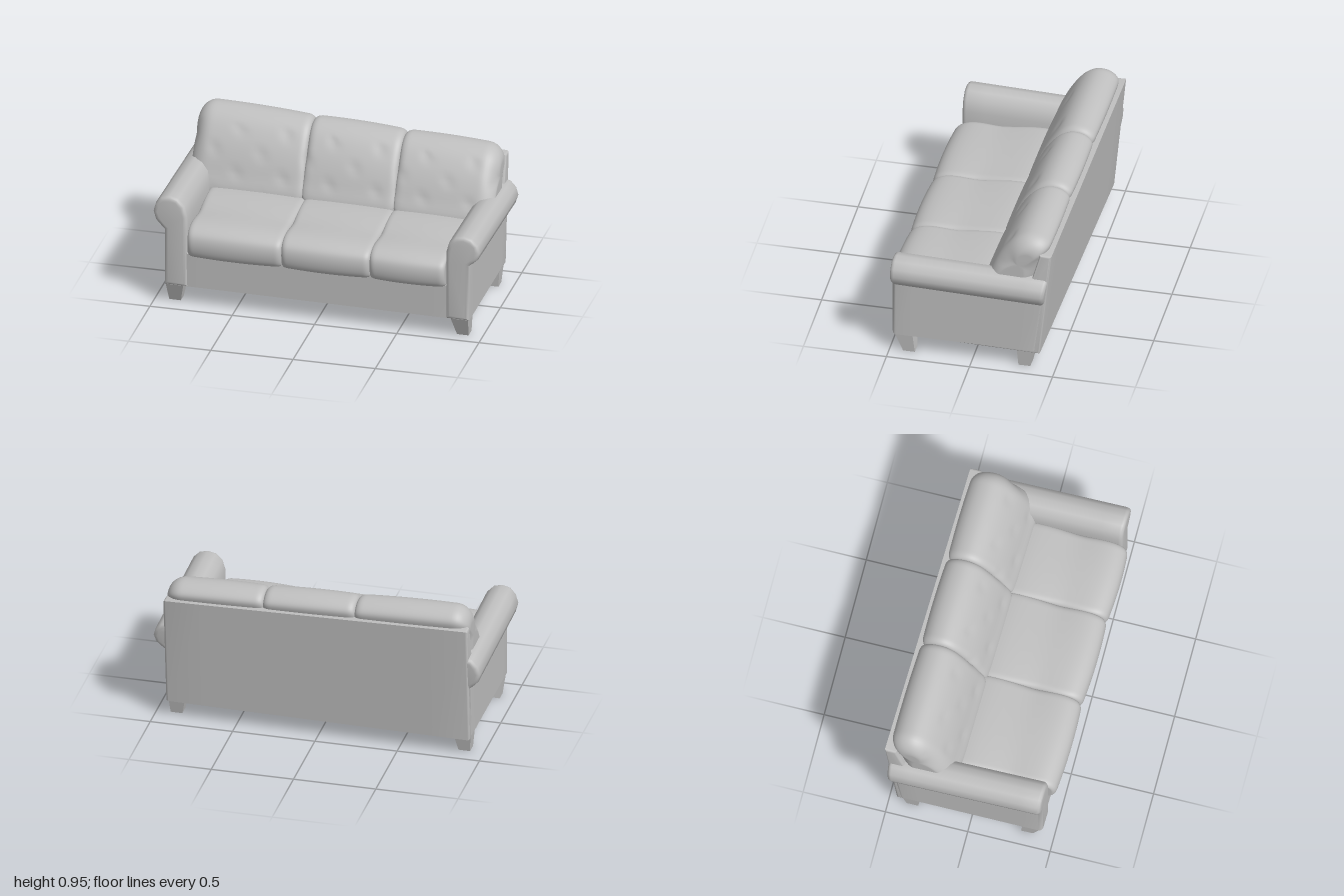
import * as THREE from 'three';
import { toCreasedNormals } from 'three/addons/utils/BufferGeometryUtils.js';

const fabric = new THREE.MeshStandardMaterial({ color: 0xbfbfbf });
fabric.name = 'grey fabric';
const lining = new THREE.MeshStandardMaterial({ color: 0xbfbfbf, side: THREE.DoubleSide });
lining.name = 'grey lining';

// Moves every vertex of a geometry by a rule
function bend(geo, rule) {
  const p = geo.attributes.position, v = new THREE.Vector3();
  for (let i = 0; i < p.count; i++) {
    rule(v.fromBufferAttribute(p, i));
    p.setXYZ(i, v.x, v.y, v.z);
  }
  return geo;
}

// The whole sofa is slightly askew and lower towards its left end
const skew = v => {
  v.y -= v.x * 0.08 * Math.max(0, v.y - 0.45);
  v.z += v.x * 0.025;
};

const spline = (pts, n) =>
  new THREE.CatmullRomCurve3(pts.map(([a, b]) => new THREE.Vector3(a, b, 0)), true).getPoints(n).slice(0, n);

// Extrudes an outline with soft edges, centred on its depth
function softExtrude(outline, depth, bevel) {
  const shape = new THREE.Shape(outline.map(([a, b]) => new THREE.Vector2(a, b)));
  const geo = new THREE.ExtrudeGeometry(shape, {
    depth: depth - 2 * bevel, steps: 8, bevelThickness: bevel, bevelSize: bevel, bevelOffset: -bevel, bevelSegments: 4,
  });
  return geo.translate(0, 0, bevel - depth / 2);
}

// Cushion: a (z, y) profile swept along x, drawn in towards both ends
function cushion(profile, x0, x1, [r0, d0], [r1, d1], crown) {
  const n = 56, slices = 40, ring = spline(profile, n), pos = [], idx = [];
  const c = ring.reduce((s, p) => s.add(p), new THREE.Vector3()).divideScalar(n);
  const round = (dist, r, d) => {
    const q = Math.max(0, 1 - dist / r);
    return d * (1 - Math.sqrt(Math.max(0, 1 - q * q)));
  };
  for (let j = 0; j <= slices; j++) {
    const u = -Math.cos(Math.PI * j / slices);
    const x = (x0 + x1) / 2 + u * (x1 - x0) / 2;
    const inset = round(x - x0, r0, d0) + round(x1 - x, r1, d1) + crown * u * u;
    for (const p of ring) {
      const dir = p.clone().sub(c), len = dir.length();
      const q = c.clone().addScaledVector(dir, Math.max(0.1, 1 - inset / len));
      pos.push(x, q.y, q.x);
    }
  }
  for (let j = 0; j < slices; j++) {
    for (let i = 0; i < n; i++) {
      const a = j * n + i, b = a + n, e = j * n + (i + 1) % n, f = e + n;
      idx.push(a, b, e, b, f, e);
    }
  }
  pos.push(x0, c.y, c.x, x1, c.y, c.x);
  const m = (slices + 1) * n;
  for (let i = 0; i < n; i++) {
    const k = (i + 1) % n, o = slices * n;
    idx.push(m, i, k, m + 1, o + k, o + i);
  }
  const geo = new THREE.BufferGeometry();
  geo.setAttribute('position', new THREE.Float32BufferAttribute(pos, 3));
  geo.setIndex(idx);
  return geo;
}

export function createModel() {
  const sofa = new THREE.Group();
  sofa.name = 'sofa';
  const add = (name, geo, crease = 0.7, material = fabric) => {
    bend(geo, skew);
    if (crease) geo = toCreasedNormals(geo, crease);
    else geo.computeVertexNormals();
    const mesh = new THREE.Mesh(geo, material);
    mesh.name = name;
    sofa.add(mesh);
  };

  // Base and leaning back frame, one side outline swept across the width
  const side = [[0.445, 0.12], [0.452, 0.335], [-0.3, 0.335], [-0.43, 0.825], [-0.5, 0.825], [-0.428, 0.1]];
  add('frame', softExtrude(side, 1.86, 0.015).rotateY(-Math.PI / 2));

  // Rolled arms
  const armOutline = [
    [0.79, 0.12], [0.79, 0.48], [0.792, 0.56], [0.81, 0.625], [0.85, 0.664], [0.9, 0.675], [0.95, 0.663],
    [0.985, 0.625], [1.0, 0.575], [0.985, 0.525], [0.955, 0.495], [0.932, 0.475], [0.932, 0.12],
  ];
  for (const s of [1, -1]) {
    const arm = softExtrude(armOutline.map(([x, y]) => [s * x, y]), 0.93, 0.025).translate(0, 0, -0.005);
    bend(arm, v => {
      if (v.z < 0) v.z += 0.12 * (0.6 - v.y) * Math.min(1, -v.z / 0.45);
      if (v.y > 0.45) v.y -= 0.03 * (0.4 - v.z);
    });
    add(s > 0 ? 'leftArm' : 'rightArm', arm, 0.8);
  }

  // Three seat cushions
  const seat = [
    [0.42, 0.318], [0.485, 0.332], [0.508, 0.4], [0.494, 0.47], [0.43, 0.512], [0.2, 0.522],
    [-0.15, 0.515], [-0.2, 0.42], [-0.15, 0.325], [0.15, 0.32],
  ];
  const seam = [0.035, 0.025];
  [[-0.785, -0.21], [-0.21, 0.33], [0.33, 0.79]].forEach(([a, b], i) =>
    add('seatCushion' + (i + 1), cushion(seat, a, b, seam, seam, 0.012), 0));

  // Three lightly tufted back cushions
  const back = [
    [-0.07, 0.49], [-0.105, 0.62], [-0.18, 0.78], [-0.27, 0.89], [-0.35, 0.925], [-0.43, 0.912],
    [-0.477, 0.865], [-0.46, 0.79], [-0.4, 0.6], [-0.28, 0.45],
  ];
  const end = [0.1, 0.11], notch = [0.045, 0.03];
  [[-0.925, -0.23, end, notch], [-0.23, 0.33, notch, notch], [0.33, 0.93, notch, end]].forEach(([a, b, l, r], i) => {
    const geo = cushion(back, a, b, l, r, 0.008);
    bend(geo, v => {
      if (v.z > -0.28 && v.y > 0.53 && v.y < 0.86) {
        v.z -= 0.007 * Math.max(0, Math.sin(v.x * 22) * Math.sin(v.y * 28)) ** 3;
      }
    });
    add('backCushion' + (i + 1), geo, 0);
  });

  // Tapered legs
  for (const sx of [1, -1]) {
    for (const [z, top, name] of [[0.36, 0.395, 'frontLeg'], [-0.335, -0.345, 'backLeg']]) {
      const leg = new THREE.CylinderGeometry(0.08, 0.05, 0.14, 4, 1).rotateY(Math.PI / 4);
      leg.translate(0, 0.07, 0);
      bend(leg, v => {
        v.z += v.y > 0.07 ? top : z;
        v.x += sx * (v.y > 0.07 ? 0.87 : 0.88);
      });
      add(name, leg, 0.4);
    }
  }

  // Sagging lining under the base: [x, z, radius, drop]
  const sags = [
    [-0.25, -0.22, 0.17, 0.07], [-0.48, 0.2, 0.13, 0.035], [0.1, -0.18, 0.12, 0.035],
    [0.15, 0.22, 0.11, 0.03], [-0.12, 0.25, 0.14, 0.04],
  ];
  const sheet = new THREE.PlaneGeometry(1.3, 0.66, 60, 36).rotateX(Math.PI / 2).translate(-0.1, 0.122, 0.02);
  bend(sheet, v => {
    let drop = 0;
    for (const [x, z, r, d] of sags) drop += d * Math.exp(-((v.x - x) ** 2 + (v.z - z) ** 2) / (r * r));
    v.y -= Math.min(0.085, drop * (1 + 0.25 * Math.sin(v.x * 31 + v.z * 17) * Math.cos(v.z * 37)));
  });
  add('underLining', sheet, 0, lining);

  return sofa;
}
